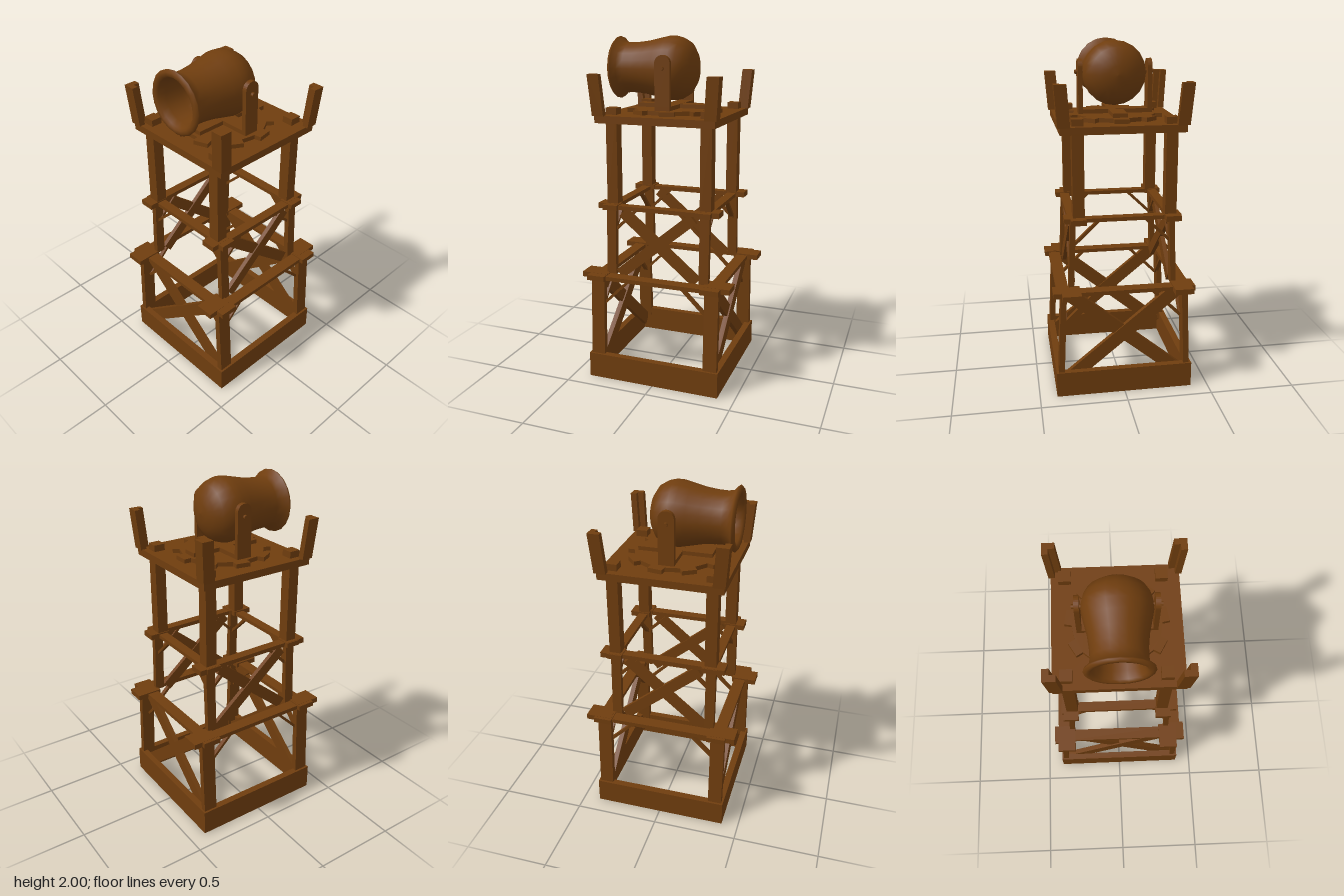
import * as THREE from 'three';

const wood = new THREE.MeshStandardMaterial({ color: 0x6f3d0e });
wood.name = 'brown wood';

function add(parent, name, geometry, x = 0, y = 0, z = 0) {
  const mesh = new THREE.Mesh(geometry, wood);
  mesh.name = name;
  mesh.position.set(x, y, z);
  parent.add(mesh);
  return mesh;
}

// Box given by its low and high corners
function block(parent, name, x0, x1, y0, y1, z0, z1) {
  return add(parent, name, new THREE.BoxGeometry(Math.abs(x1 - x0), y1 - y0, Math.abs(z1 - z0)),
    (x0 + x1) / 2, (y0 + y1) / 2, (z0 + z1) / 2);
}

// Flat bar in the XY plane from a to b
function bar(parent, name, a, b, width, thick, z) {
  const dx = b[0] - a[0], dy = b[1] - a[1];
  const mesh = add(parent, name, new THREE.BoxGeometry(Math.hypot(dx, dy), width, thick),
    (a[0] + b[0]) / 2, (a[1] + b[1]) / 2, z);
  mesh.rotation.z = Math.atan2(dy, dx);
}

// Shear so that x and z shift by the given amounts per unit of height
function lean(geometry, kx, kz) {
  return geometry.applyMatrix4(new THREE.Matrix4().set(
    1, kx, 0, 0, 0, 1, 0, 0, 0, kz, 1, 0, 0, 0, 0, 1));
}

// Vertical plate from a shape drawn in x and z
function plate(shape, height) {
  const g = new THREE.ExtrudeGeometry(shape, { depth: height, bevelEnabled: false });
  return g.rotateX(-Math.PI / 2);
}

const corners = [[-1, -1], [1, -1], [1, 1], [-1, 1]];

// Four rails with crossing blocks at the corners
function ring(parent, name, y, rx, rz, w, c) {
  const g = new THREE.Group();
  g.name = name;
  for (const s of [-1, 1]) {
    block(g, 'crossRail', -rx, rx, y, y + 0.022, s * rz - w / 2, s * rz + w / 2);
    block(g, 'sideRail', s * rx - w / 2, s * rx + w / 2, y, y + 0.024, -rz, rz);
  }
  for (const [sx, sz] of corners) {
    const cx = sx < 0 ? -c.x - 0.014 : c.x - 0.014;
    block(g, 'cornerBlock', cx - c.h, cx + c.h, y - 0.001, y + 0.03, sz * c.inner, sz * c.endZ);
    block(g, 'cornerBlock', sx * c.inner, sx * c.endX, y - 0.001, y + 0.029, sz * (c.z - c.h), sz * (c.z + c.h));
  }
  parent.add(g);
}

// Thin knee braces on all four sides
function knees(parent, lowX, highX, lowY, highY, planeZ, planeX) {
  for (const turn of [0, 1]) {
    const g = new THREE.Group();
    g.name = 'kneeBraces';
    g.rotation.y = turn * Math.PI / 2;
    for (const s of [-1, 1]) for (const f of [-1, 1])
      bar(g, 'kneeBrace', [s * lowX, lowY], [s * highX, highY], 0.016, 0.025, f * (turn ? planeX : planeZ));
    parent.add(g);
  }
}

export function createModel() {
  const model = new THREE.Group();
  model.name = 'cannonTower';

  // Base frame
  for (const s of [-1, 1]) {
    block(model, 'baseBoard', -0.4, 0.4, 0, 0.15, s * 0.36, s * 0.4);
    block(model, 'baseBoard', s * 0.36, s * 0.4, 0, 0.15, -0.36, 0.36);
  }

  // Legs of the three tiers
  for (const [sx, sz] of corners) {
    add(model, 'lowerLeg', lean(new THREE.BoxGeometry(0.034, 0.54, 0.082), -sx * 0.045, 0),
      sx * 0.36, 0.37, sz * 0.348);
    add(model, 'middleLeg', lean(new THREE.BoxGeometry(0.031, 0.41, 0.057), -sx * 0.04, 0),
      sx * 0.29, 0.84, sz * 0.283);
    const x = sx < 0 ? -0.273 : 0.249;
    block(model, 'upperLeg', x - 0.033, x + 0.033, 1.04, 1.61, sz * 0.248, sz * 0.314);
  }

  // Rings between the tiers
  ring(model, 'lowerRing', 0.618, 0.35, 0.35, 0.07,
    { x: 0.32, z: 0.345, h: 0.054, inner: 0.3, endX: 0.408, endZ: 0.45 });
  ring(model, 'upperRing', 1.03, 0.28, 0.285, 0.055,
    { x: 0.268, z: 0.28, h: 0.044, inner: 0.245, endX: 0.332, endZ: 0.365 });

  // Crossed braces: lower tier front and back, middle tier on the sides
  for (const f of [-1, 1]) for (const s of [-1, 1])
    bar(model, 'lowerCrossBrace', [s * 0.295, 0.603], [-s * 0.35, 0.072], 0.078, 0.03, f * 0.345 + s * 0.004);
  const sides = new THREE.Group();
  sides.name = 'sideCrossBraces';
  sides.rotation.y = Math.PI / 2;
  for (const f of [-1, 1]) for (const s of [-1, 1])
    bar(sides, 'middleCrossBrace', [s * 0.215, 1.015], [-s * 0.235, 0.64], 0.065, 0.025, f * 0.287 + s * 0.003);
  model.add(sides);
  knees(model, 0.335, 0.16, 0.445, 0.618, 0.335, 0.34);
  knees(model, 0.285, 0.13, 0.885, 1.034, 0.28, 0.28);

  // Gun platform
  block(model, 'platform', -0.348, 0.348, 1.53, 1.572, -0.35, 0.352);

  // Leaning L-shaped corner posts
  for (const [sx, sz] of corners) {
    const a = 0.068, t = 0.035;
    const pts = [[0, 0], [a, 0], [a, t], [t, t], [t, a], [0, a]]
      .map(([x, z]) => new THREE.Vector2(sx * (0.36 - x), -sz * (0.36 - z)));
    add(model, 'cornerPost', lean(plate(new THREE.Shape(pts), 0.23), sx * 0.075, sz * 0.075), 0, 1.57, 0);
  }

  // Nine-toothed turntable
  const gear = [];
  for (let i = 0; i < 9; i++) {
    const a = Math.PI / 2 + i * Math.PI * 2 / 9;
    for (const [r, w] of [[0.235, -0.042], [0.275, -0.042], [0.275, 0.042], [0.235, 0.042]])
      gear.push(new THREE.Vector2(r * Math.cos(a) - w * Math.sin(a), r * Math.sin(a) + w * Math.cos(a)));
  }
  add(model, 'turntable', plate(new THREE.Shape(gear), 0.026), 0, 1.57, 0);

  // Cradle: crossed base bars, rounded arms and pivot pin
  const cradle = new THREE.Group();
  cradle.name = 'cradle';
  block(cradle, 'baseBar', -0.042, 0.042, 1.596, 1.619, -0.215, 0.215);
  block(cradle, 'baseBar', -0.213, 0.213, 1.596, 1.62, -0.045, 0.045);
  const arm = new THREE.Shape();
  arm.moveTo(-0.045, 0);
  arm.lineTo(0.045, 0);
  arm.lineTo(0.045, 0.245);
  arm.absarc(0, 0.245, 0.045, 0, Math.PI);
  for (const s of [-1, 1]) {
    const g = new THREE.ExtrudeGeometry(arm, { depth: 0.026, bevelEnabled: false, curveSegments: 8 });
    add(cradle, 'cradleArm', g.translate(0, 0, -0.013).rotateY(Math.PI / 2), s * 0.2, 1.61, 0);
    const pin = new THREE.CylinderGeometry(0.012, 0.012, 0.06, 10).rotateZ(Math.PI / 2);
    add(cradle, 'pivotPin', pin, s * 0.198, 1.828, 0);
  }
  model.add(cradle);

  // Barrel: outer skin, flared rim, then the bore
  const profile = [
    [0, -0.143], [0.05, -0.138], [0.1, -0.122], [0.148, -0.092], [0.173, -0.05], [0.183, -0.01],
    [0.182, 0.03], [0.17, 0.085], [0.154, 0.155], [0.146, 0.22], [0.144, 0.275], [0.15, 0.31],
    [0.178, 0.335], [0.179, 0.342], [0.167, 0.353], [0.148, 0.353], [0.136, 0.34], [0.125, 0.3],
    [0.122, 0.2], [0.11, 0.12], [0.07, 0.07], [0, 0.05],
  ].map(([r, z]) => new THREE.Vector2(r, z));
  add(model, 'barrel', new THREE.LatheGeometry(profile, 20).rotateX(Math.PI / 2), 0, 1.819, 0);

  return model;
}
